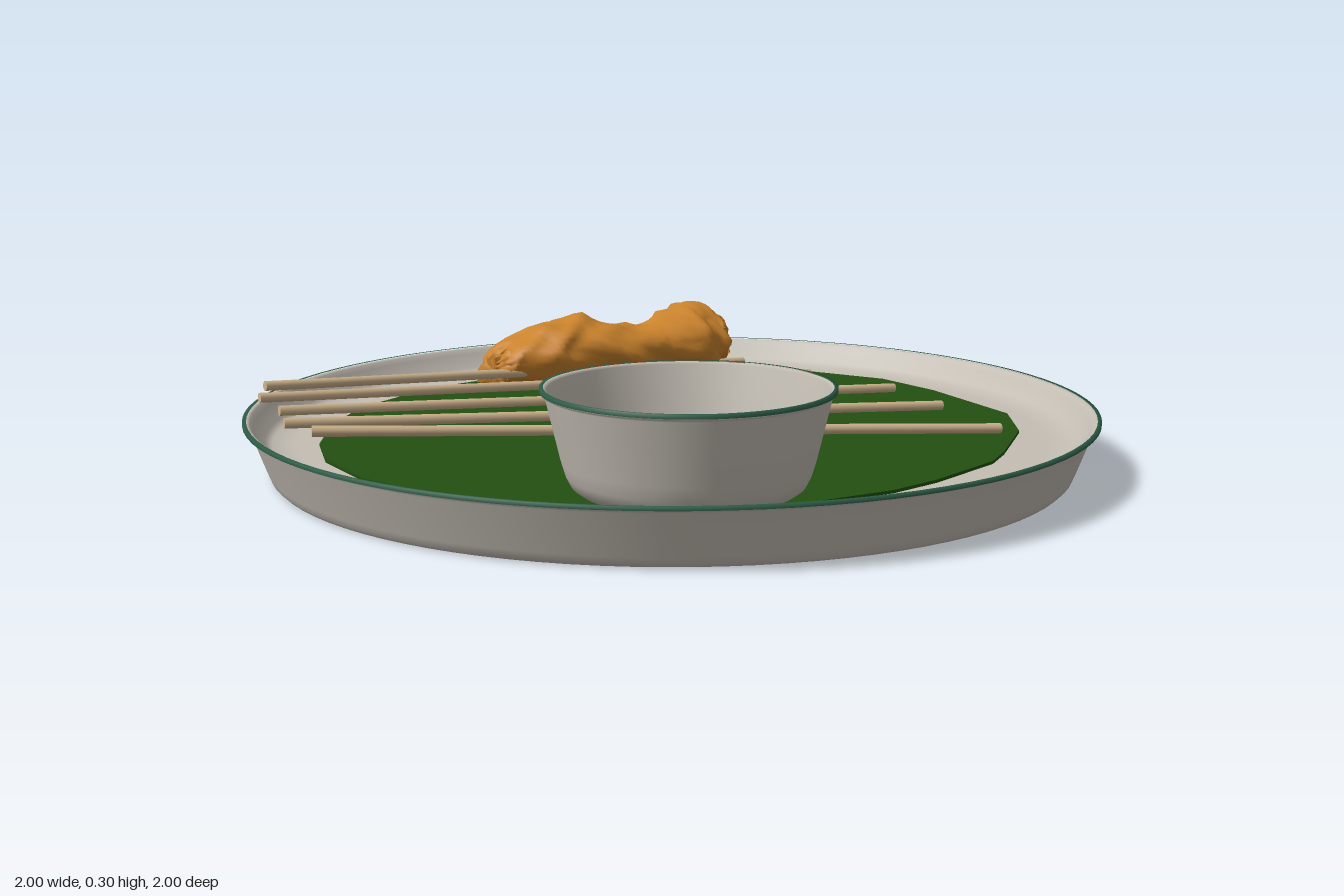
import * as THREE from 'three';
import { mergeVertices } from 'three/addons/utils/BufferGeometryUtils.js';

const mat = (name, color, opts = {}) => {
  const m = new THREE.MeshStandardMaterial({ color, ...opts });
  m.name = name;
  return m;
};

// Lathe from [radius, height] pairs, running up the outside and down the inside
const lathe = (pts, segments) =>
  new THREE.LatheGeometry(pts.map(([r, y]) => new THREE.Vector2(r, y)), segments);

// Shape drawn in x/z, laid flat at height y
function flat(shape, depth, y) {
  const g = new THREE.ExtrudeGeometry(shape, { depth, bevelEnabled: false, curveSegments: 24 });
  return g.rotateX(-Math.PI / 2).translate(0, y, 0);
}

// Meat slices: z, centre x, half width, top height
const SLICES = [
  [-0.72, -0.40, 0.09, 0.235], [-0.68, -0.405, 0.125, 0.262], [-0.6, -0.395, 0.132, 0.262],
  [-0.5, -0.43, 0.105, 0.225], [-0.4, -0.475, 0.118, 0.235], [-0.3, -0.53, 0.115, 0.262],
  [-0.2, -0.565, 0.11, 0.245], [-0.13, -0.615, 0.075, 0.215], [-0.08, -0.625, 0.03, 0.17],
];

function sliceAt(t) {
  const f = Math.min(Math.max(t, 0), 0.9999) * (SLICES.length - 1);
  const i = Math.floor(f);
  const k = f - i;
  return SLICES[i].map((v, j) => v + (SLICES[i + 1][j] - v) * k);
}

// Lumpy folded strip of meat: a cylinder bent through the slices with wrinkles
function meatGeometry() {
  let seed = 7;
  const rand = () => (seed = (seed * 16807) % 2147483647) / 2147483647;
  let g = new THREE.CylinderGeometry(1, 1, 1, 48, 64);
  g.deleteAttribute('uv');
  g.deleteAttribute('normal');
  g = mergeVertices(g);
  const p = g.attributes.position;
  for (let i = 0; i < p.count; i++) {
    const x = p.getX(i), up = p.getZ(i), t = 0.5 - p.getY(i);
    const a = Math.atan2(up, x);
    const [z, cx, half, top] = sliceAt(t);
    const fold = 1 - Math.abs(Math.sin(t * 17 + a + 1.3 * Math.sin(2 * a + t * 6)));
    const lump = Math.sin(3 * a + t * 14) * 0.05 + Math.sin(5 * a - t * 31) * 0.04;
    const ragged = Math.max(0, Math.abs(t - 0.5) - 0.38) * 2.2;
    const k = 0.93 + 0.14 * fold + lump + (rand() - 0.5) * (0.04 + ragged);
    const base = 0.088, mid = (top + base) / 2, tall = (top - base) / 2;
    p.setXYZ(i, cx + x * half * k, Math.max(0.083, mid + up * tall * k),
      z + (rand() - 0.5) * ragged * 0.12 + 0.02 * Math.sin(a * 2 + 1) * Math.hypot(x, up));
  }
  g.computeVertexNormals();
  return g;
}

export function createModel() {
  const ceramic = mat('stoneware', 0xc4beb4);
  const rimGreen = mat('rim green', 0x2c5a45);
  const leafGreen = mat('leaf green', 0x225010);
  const wood = mat('bamboo', 0xcdb28c);
  const meatBrown = mat('grilled meat', 0xc9822c);
  const sauceBrown = mat('sauce', 0xc4802c);

  const group = new THREE.Group();
  const add = (name, geometry, material, parent = group) => {
    const m = new THREE.Mesh(geometry, material);
    m.name = name;
    parent.add(m);
    return m;
  };

  // Round plate
  add('plate', lathe([
    [0, 0], [0.925, 0], [0.934, 0.002], [0.942, 0.01], [0.948, 0.025], [0.983, 0.12], [0.987, 0.126],
    [0.997, 0.128], [0.998, 0.134], [0.99, 0.135], [0.983, 0.132], [0.976, 0.12], [0.952, 0.085],
    [0.935, 0.076], [0.9, 0.072], [0.88, 0.072], [0, 0.072],
  ], 96), ceramic);
  add('plateRim', lathe([[1.0, 0.129], [1.0, 0.137], [0.991, 0.137]], 96), rimGreen);

  // Leaf lining the plate
  const outline = [
    [0.11, -0.84], [0.3, -0.77], [0.59, -0.6], [0.7, -0.43], [0.77, -0.2], [0.79, -0.1], [0.77, 0.13],
    [0.74, 0.26], [0.66, 0.43], [0.5, 0.66], [0.29, 0.78], [0.04, 0.84], [-0.23, 0.81], [-0.42, 0.73],
    [-0.55, 0.62], [-0.68, 0.45], [-0.77, 0.26], [-0.8, 0.0], [-0.79, -0.1], [-0.74, -0.32],
    [-0.67, -0.5], [-0.55, -0.65], [-0.4, -0.76], [-0.29, -0.8], [-0.2, -0.82],
  ];
  const leaf = new THREE.Shape(outline.map(([x, z]) => new THREE.Vector2(x, -z)));
  add('leaf', flat(leaf, 0.007, 0.074), leafGreen);

  // Skewers lean on the front of the rim: back x, z then front x, z
  const ends = [
    [-0.31, -0.79, -0.81, 0.54], [-0.06, -0.74, -0.71, 0.65], [0.23, -0.68, -0.56, 0.73],
    [0.44, -0.54, -0.45, 0.82], [0.68, -0.37, -0.34, 0.845],
  ];
  const up = new THREE.Vector3(0, 1, 0);
  ends.forEach(([bx, bz, fx, fz], i) => {
    const back = new THREE.Vector3(bx, 0.094, bz);
    const front = new THREE.Vector3(fx, 0.174, fz);
    const dir = front.clone().sub(back);
    const s = add('skewer' + (i + 1), new THREE.CylinderGeometry(0.012, 0.012, dir.length(), 10), wood);
    s.position.copy(back).add(front).multiplyScalar(0.5);
    s.quaternion.setFromUnitVectors(up, dir.normalize());
  });

  // Meat on the left-hand skewer
  add('meat', meatGeometry(), meatBrown);

  // Dipping bowl with sauce
  const bowl = new THREE.Group();
  bowl.name = 'dippingBowl';
  bowl.position.set(0.385, 0, 0.49);
  group.add(bowl);
  add('bowlBody', lathe([
    [0, 0.075], [0.2, 0.075], [0.225, 0.08], [0.243, 0.093], [0.254, 0.115], [0.263, 0.145], [0.295, 0.28],
    [0.297, 0.284], [0.303, 0.286], [0.303, 0.294], [0.297, 0.295], [0.29, 0.29], [0.26, 0.16],
    [0.249, 0.12], [0.235, 0.098], [0.21, 0.088], [0.19, 0.086], [0, 0.086],
  ], 64), ceramic, bowl);
  add('bowlRim', lathe([[0.305, 0.288], [0.305, 0.297], [0.297, 0.297]], 64), rimGreen, bowl);
  const patch = new THREE.Shape();
  patch.absarc(0, 0, 0.232, 1.92, 3.94, false);
  add('leafInBowl', flat(patch, 0.006, 0.093), leafGreen, bowl);
  const sauce = add('sauce', new THREE.CylinderGeometry(0.134, 0.134, 0.056, 40), sauceBrown, bowl);
  sauce.position.set(0, 0.114, -0.01);

  return group;
}
